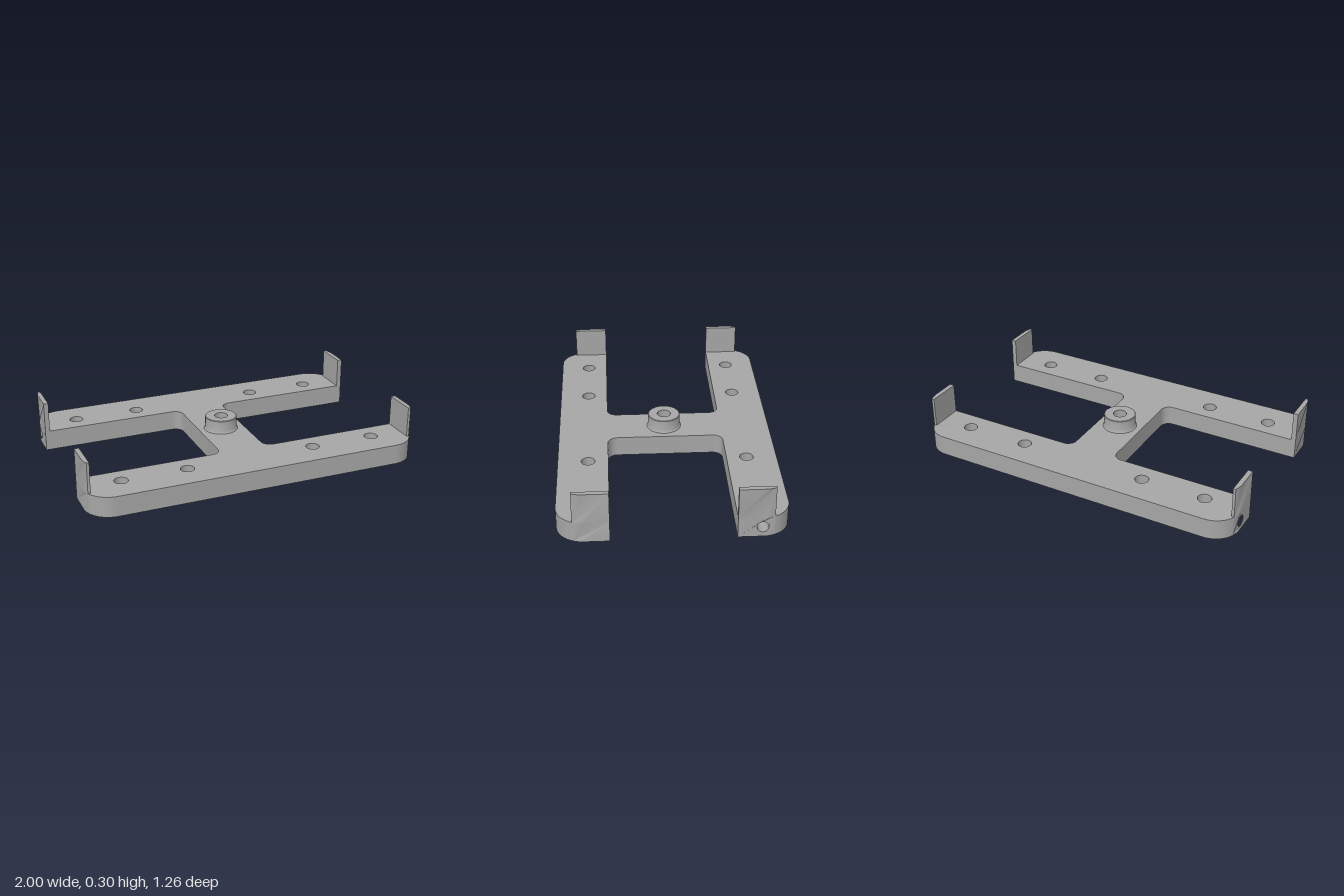
import * as THREE from 'three';
import { toCreasedNormals } from 'three/addons/utils/BufferGeometryUtils.js';

const T = 0.12;            // plate thickness
const IN = 0.34, OUT = 0.63; // inner and outer edge of each arm (z)
const R = 0.15;            // outer corner radius
const CX = 1 - R, CZ = OUT - R;
const TAB = 0.54;          // outer edge of the end tabs (z)
const NOTCH = 0.84;        // x where the end blocks begin

const arc = (cx, cy, r, a0, a1, n) => Array.from({ length: n + 1 }, (_, i) => {
  const a = a0 + (a1 - a0) * i / n;
  return new THREE.Vector2(cx + r * Math.cos(a), cy + r * Math.sin(a));
});

function circle(x, y, r) {
  const p = new THREE.Path();
  p.absarc(x, y, r, 0, Math.PI * 2, true);
  return p;
}

// H outline made from one mirrored quarter
function plateShape(holes) {
  const q = [
    ...arc(0.137 + 0.055, IN - 0.055, 0.055, Math.PI, Math.PI / 2, 10),
    new THREE.Vector2(NOTCH, IN), new THREE.Vector2(NOTCH, TAB),
    ...arc(CX, CZ, R, Math.asin((TAB - CZ) / R), Math.PI / 2, 16),
  ];
  const flip = (sx, sy) => q.map(p => new THREE.Vector2(p.x * sx, p.y * sy));
  const shape = new THREE.Shape([
    ...flip(1, 1), ...flip(-1, 1).reverse(), ...flip(-1, -1), ...flip(1, -1).reverse(),
  ]);
  shape.holes = holes.map(h => circle(...h));
  return shape;
}

// Block on the end of an arm, its outer face following the rounded corner
function endBlock(side, zSide, x0, y0, y1, hole) {
  const k = -zSide * side;
  const top = [IN, CZ, 0.5, 0.52, TAB];
  const shape = new THREE.Shape([
    ...top.map(u => new THREE.Vector2(u * k, y0)),
    ...top.slice().reverse().map(u => new THREE.Vector2(u * k, y1)),
  ]);
  if (hole) shape.holes.push(circle(0.474 * k, 0.06, 0.032));
  const g = new THREE.ExtrudeGeometry(shape, { depth: 1 - x0, bevelEnabled: false, curveSegments: 24 });
  g.rotateY(Math.PI / 2).translate(x0, 0, 0);
  const p = g.attributes.position;
  for (let i = 0; i < p.count; i++) {
    const d = Math.max(0, Math.abs(p.getZ(i)) - CZ);
    p.setX(i, Math.min(p.getX(i), CX + Math.sqrt(R * R - d * d)));
  }
  if (side < 0) g.rotateY(Math.PI);
  return g;
}

export function createModel() {
  const group = new THREE.Group();
  const grey = new THREE.MeshStandardMaterial({ color: 0xa6a6a6 });
  grey.name = 'grey';
  const add = (name, geometry) => {
    const mesh = new THREE.Mesh(toCreasedNormals(geometry, 0.6), grey);
    mesh.name = name;
    group.add(mesh);
  };

  // Plate in two layers, so that blind holes can stop halfway
  const through = [];
  for (const x of [-0.777, -0.39, 0.39, 0.777])
    for (const z of [-0.456, 0.456]) through.push([x, z, 0.04]);
  const blind = [[-0.39, 0.56, 0.035], [0.39, 0.56, 0.035]];
  const layer = (name, holes, y) => {
    const g = new THREE.ExtrudeGeometry(plateShape(holes), { depth: T / 2, bevelEnabled: false, curveSegments: 24 });
    add(name, g.rotateX(-Math.PI / 2).translate(0, y, 0));
  };
  layer('lowerPlate', [...through, ...blind], 0);
  layer('upperPlate', [...through, [0, 0, 0.04]], T / 2);

  // Arm ends with upright tabs; the back pair has side holes
  for (const side of [-1, 1]) {
    for (const zSide of [-1, 1]) {
      const name = (zSide > 0 ? 'front' : 'back') + (side > 0 ? 'Left' : 'Right');
      add(name + 'ArmEnd', endBlock(side, zSide, NOTCH, 0, T, zSide < 0));
      add(name + 'Tab', endBlock(side, zSide, 0.972, T, 0.3, false));
    }
  }

  // Central boss with a small foot flare and a bore
  const profile = [[0.102, T], [0.097, 0.124], [0.095, 0.13], [0.095, 0.197], [0.092, 0.2], [0.04, 0.2], [0.04, T]];
  add('centreBoss', new THREE.LatheGeometry(profile.map(p => new THREE.Vector2(...p)), 48));

  return group;
}
